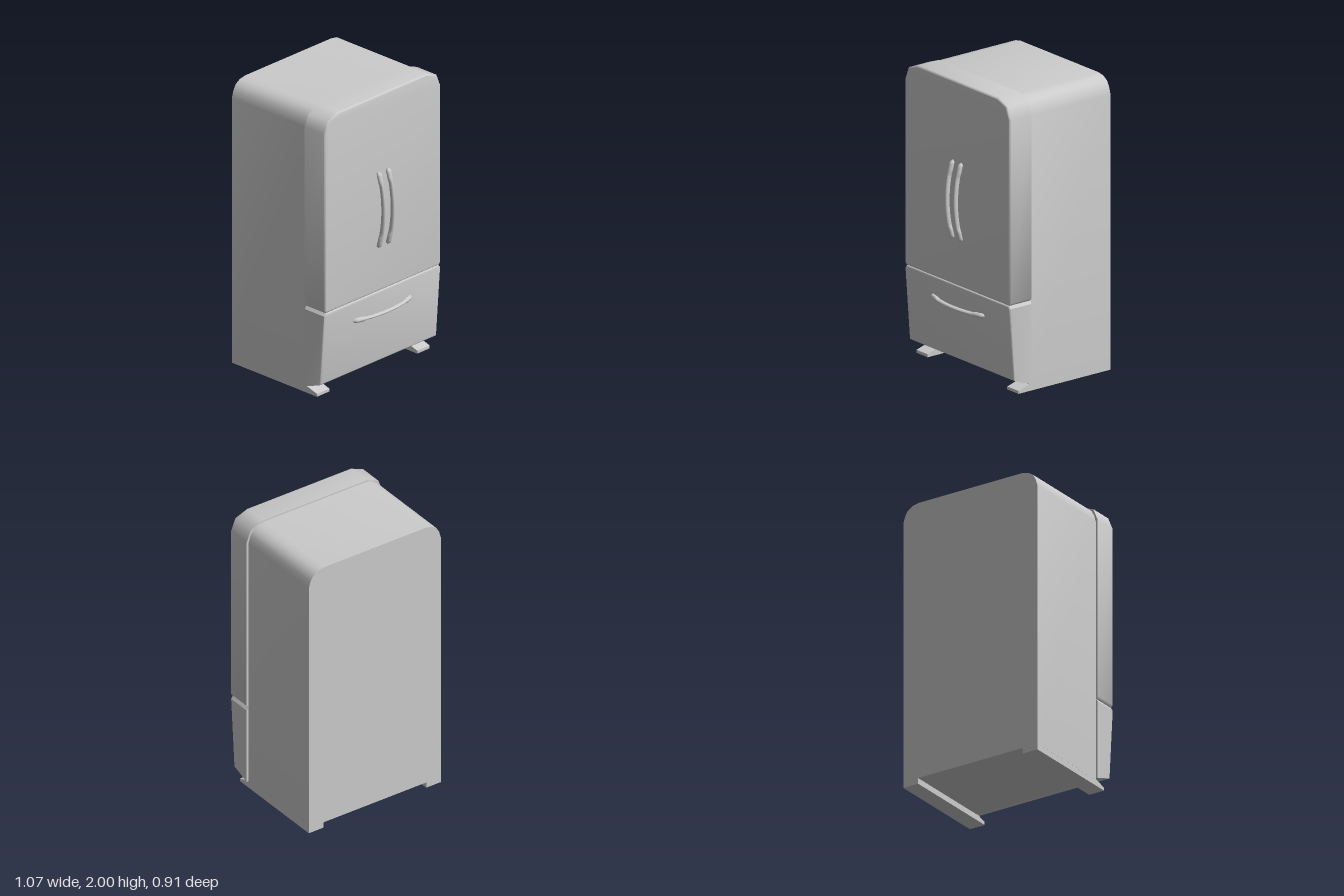
import * as THREE from 'three';
import { toCreasedNormals } from 'three/addons/utils/BufferGeometryUtils.js';

const material = new THREE.MeshStandardMaterial({ color: 0xcccccc, roughness: 0.6 });

function addMesh(parent, name, geometry) {
  const mesh = new THREE.Mesh(geometry, material);
  mesh.name = name;
  parent.add(mesh);
  return mesh;
}

// Apply a rule to every vertex of a geometry
function warp(geometry, rule) {
  const pos = geometry.attributes.position;
  const v = new THREE.Vector3();
  for (let i = 0; i < pos.count; i++) {
    rule(v.fromBufferAttribute(pos, i));
    pos.setXYZ(i, v.x, v.y, v.z);
  }
  geometry.computeVertexNormals();
  return geometry;
}

// Left-right symmetric outline from its right half, listed bottom to top
function mirroredShape(half) {
  const left = half.map(([x, y]) => [-x, y]).reverse();
  return new THREE.Shape([...half, ...left].map(([x, y]) => new THREE.Vector2(x, y)));
}

// Panel from z0 to z1, bevelled on its front edge and square at the back
function panel(half, z0, z1, bevel) {
  const geometry = new THREE.ExtrudeGeometry(mirroredShape(half), {
    depth: z1 - z0 - bevel,
    bevelEnabled: bevel > 0,
    bevelSize: bevel,
    bevelThickness: bevel,
    bevelOffset: -bevel,
    bevelSegments: 3,
  });
  return warp(geometry, (v) => { v.z = z0 + Math.max(v.z, 0); });
}

// Bowed bar along y with thicker, rounded grips at both ends
function handleGeometry(halfLength) {
  const geometry = new THREE.CylinderGeometry(1, 1, 2, 14, 40);
  return warp(geometry, (v) => {
    const t = v.y;
    const a = Math.abs(t);
    const grip = THREE.MathUtils.smoothstep(a, 0.64, 0.74);
    const tip = a > 0.94 ? Math.sqrt(Math.max(0.04, 1 - ((a - 0.94) / 0.06) ** 2)) : 1;
    v.x *= (0.01 + 0.007 * grip) * tip;
    v.z = v.z * 0.017 * tip + 0.437 - 0.044 * t * t;
    v.y = t * halfLength;
  });
}

export function createModel() {
  const model = new THREE.Group();
  model.name = 'refrigerator';
  const crease = 0.9;

  // Cabinet with rounded top corners
  const cabinet = panel([
    [0.522, 0.04], [0.522, 1.87], [0.508, 1.92], [0.487, 1.956], [0.45, 1.98], [0.4, 1.99],
  ], -0.455, 0.215, 0);
  addMesh(model, 'cabinet', toCreasedNormals(cabinet, crease));

  // Upper door, notched at the seam with the drawer
  const door = panel([
    [0.522, 0.615], [0.537, 0.632], [0.537, 1.88], [0.503, 1.964], [0.41, 2.0],
  ], 0.21, 0.39, 0.012);
  addMesh(model, 'upperDoor', toCreasedNormals(door, crease));

  // Freezer drawer, leaning back toward the floor with a sloped underside
  const drawer = panel([
    [0.537, 0.05], [0.537, 0.595], [0.522, 0.615],
  ], 0.21, 0.39, 0.012);
  warp(drawer, (v) => {
    const f = (v.z - 0.21) / 0.18;
    const down = THREE.MathUtils.clamp((0.6 - v.y) / 0.55, 0, 1);
    v.z -= 0.038 * f * down;
    v.y += 0.05 * f * down;
  });
  addMesh(model, 'freezerDrawer', toCreasedNormals(drawer, 0.6));

  // Pair of door handles and the drawer handle
  for (const side of [-1, 1]) {
    const handle = addMesh(model, side > 0 ? 'leftDoorHandle' : 'rightDoorHandle', handleGeometry(0.268));
    handle.position.set(side * 0.043, 1.193, 0);
  }
  const drawerHandle = addMesh(model, 'drawerHandle', handleGeometry(0.268));
  drawerHandle.rotation.z = Math.PI / 2;
  drawerHandle.position.set(0, 0.475, -0.01);

  // Floor runners with wedge-shaped front feet
  const runnerSide = new THREE.Shape([
    [-0.455, 0], [0.305, 0], [0.305, 0.02], [0.22, 0.045], [-0.455, 0.045],
  ].map(([z, y]) => new THREE.Vector2(-z, y)).reverse());
  for (const side of [-1, 1]) {
    const geometry = new THREE.ExtrudeGeometry(runnerSide, { depth: 0.115, bevelEnabled: false });
    geometry.translate(0, 0, -0.0575);
    geometry.rotateY(Math.PI / 2);
    const runner = addMesh(model, side > 0 ? 'leftRunner' : 'rightRunner', geometry);
    runner.position.x = side * 0.464;
  }

  return model;
}
